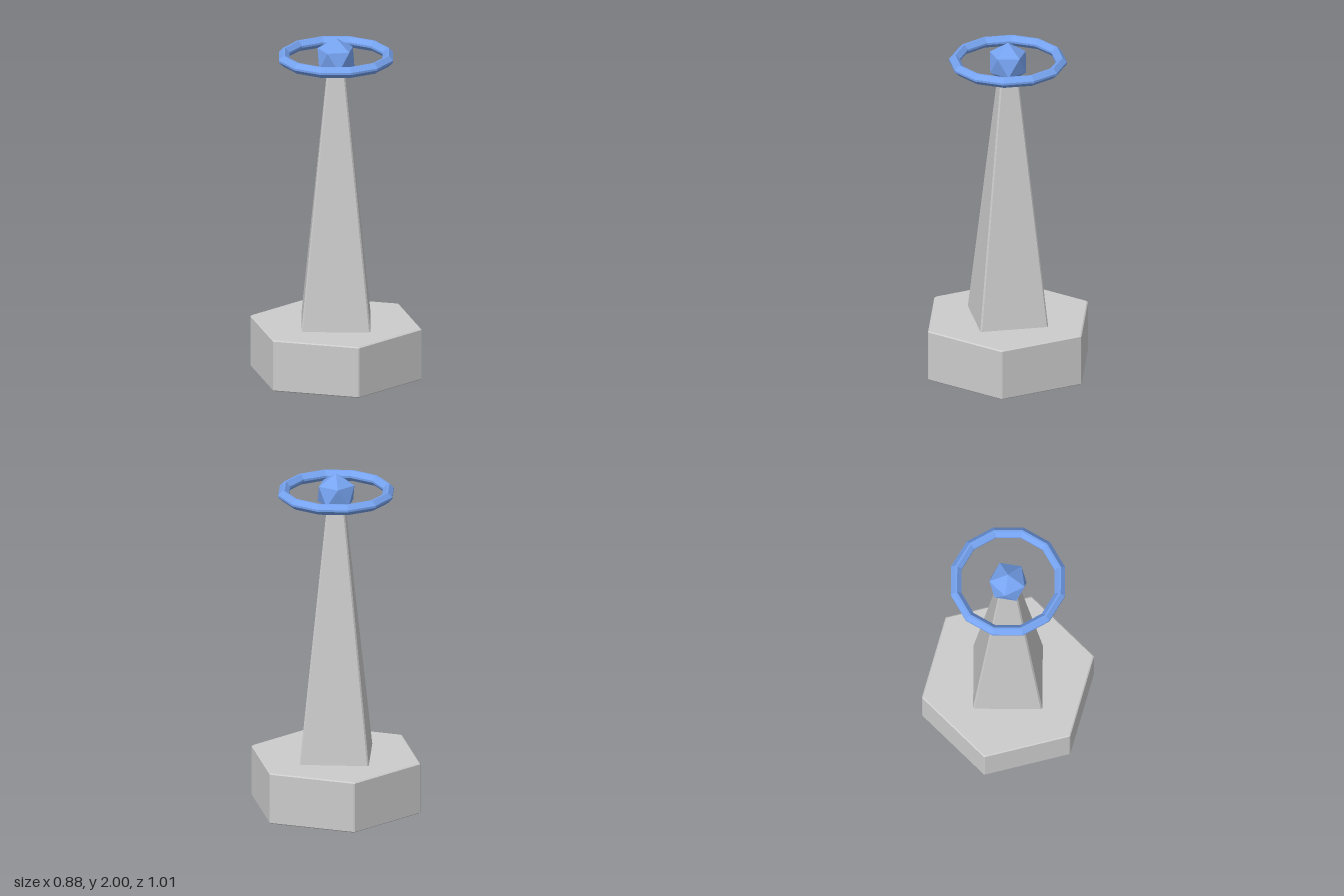
import * as THREE from 'three';
import { ConvexGeometry } from 'three/addons/geometries/ConvexGeometry.js';

const GREY = 0xcccccc, BLUE = 0x76a3f0;

function part(name, geometry, color, y = 0) {
  const material = new THREE.MeshStandardMaterial({ color, flatShading: true });
  const mesh = new THREE.Mesh(geometry, material);
  mesh.name = name;
  mesh.position.y = y;
  return mesh;
}

// Regular prism or frustum with chamfered upright edges; levels are [y, corner radius]
function chamferedPrism(sides, levels, cut) {
  const points = [];
  for (const [y, r] of levels) {
    for (let i = 0; i < sides; i++) {
      const a = (i / sides) * Math.PI * 2;
      const s = Math.sin(a), c = Math.cos(a);
      for (const d of [-cut, cut]) {
        points.push(new THREE.Vector3(r * s + d * c, y, r * c - d * s));
      }
    }
  }
  return new ConvexGeometry(points);
}

export function createModel() {
  const model = new THREE.Group();
  model.name = 'crystalObelisk';

  // Hexagonal plinth with a fine bevel at top and bottom
  const plinth = [[0, 0.497], [0.006, 0.505], [0.297, 0.505], [0.303, 0.497]];
  model.add(part('plinth', chamferedPrism(6, plinth, 0.004), GREY));

  // Tapering four-sided shaft, corners on the axes
  const shaft = [[0.28, 0.276], [1.83, 0.062]];
  model.add(part('shaft', chamferedPrism(4, shaft, 0.006), GREY));

  // Icosahedral crystal standing on a corner
  const crystal = new THREE.IcosahedronGeometry(0.12, 0);
  crystal.rotateZ(-Math.atan(2 / (1 + Math.sqrt(5))));
  model.add(part('crystal', crystal, BLUE, 1.88));

  // Twelve-sided halo with a chamfered diamond section
  const mid = 0.306, half = 0.031, cut = 0.006;
  const section = [
    [half, -cut], [half, cut], [cut, half], [-cut, half],
    [-half, cut], [-half, -cut], [-cut, -half], [cut, -half], [half, -cut],
  ].map(([x, y]) => new THREE.Vector2(mid + x, y));
  model.add(part('halo', new THREE.LatheGeometry(section, 12), BLUE, 1.885));

  return model;
}
